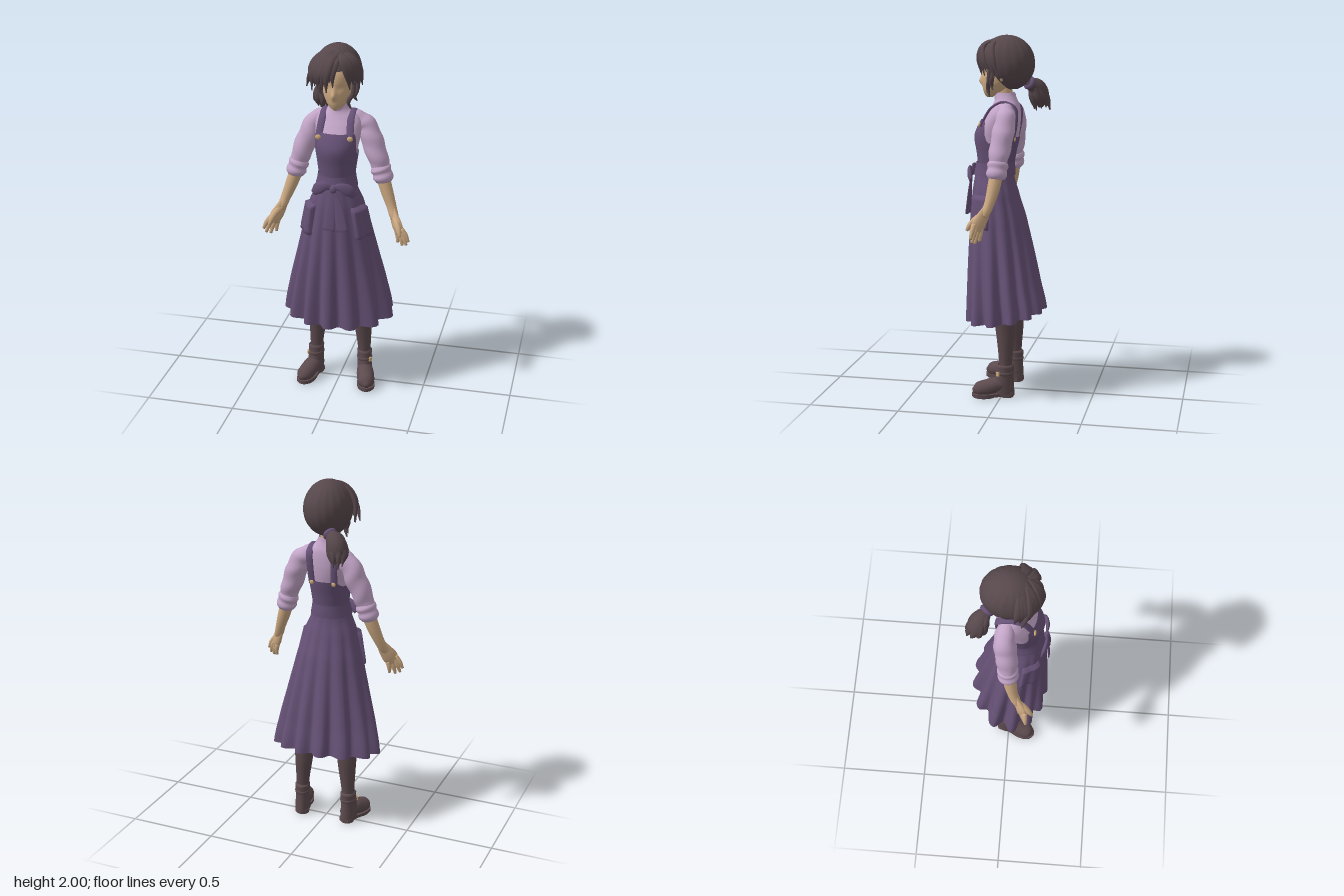
import * as THREE from 'three';

const V = (x, y, z) => new THREE.Vector3(x, y, z);
const { lerp, smoothstep, clamp } = THREE.MathUtils;
const mat = (name, color) =>
  Object.assign(new THREE.MeshStandardMaterial({ color, side: THREE.DoubleSide }), { name });

// Smooth interpolation of table rows keyed by their first column
function at(rows, y) {
  let i = 0;
  while (i < rows.length - 2 && y > rows[i + 1][0]) i++;
  const t = clamp((y - rows[i][0]) / (rows[i + 1][0] - rows[i][0]), 0, 1);
  const r = k => rows[clamp(k, 0, rows.length - 1)];
  return rows[0].map((_, c) => {
    const [a, b, d, e] = [r(i - 1)[c], r(i)[c], r(i + 1)[c], r(i + 2)[c]];
    return b + 0.5 * t * (d - a + t * (2 * a - 5 * b + 4 * d - e + t * (3 * (b - d) + e - a)));
  });
}

// Grid surface from f(u, v); closed joins the last column to the first
function surface(nu, nv, f, closed = true) {
  const pos = [], idx = [], cols = closed ? nv : nv + 1;
  for (let i = 0; i <= nu; i++)
    for (let j = 0; j < cols; j++) pos.push(...f(i / nu, j / nv).toArray());
  for (let i = 0; i < nu; i++)
    for (let j = 0; j < nv; j++) {
      const a = i * cols + j, b = i * cols + (j + 1) % cols;
      idx.push(a, b, b + cols, a, b + cols, a + cols);
    }
  const g = new THREE.BufferGeometry();
  g.setAttribute('position', new THREE.Float32BufferAttribute(pos, 3));
  g.setIndex(idx);
  g.computeVertexNormals();
  return g;
}

// Point on a stacked ellipse body; rows are [y, halfWidth, zFront, zBack]
function ring(rows, y, a, off = 0, scale = 1) {
  const [, rx, zf, zb] = at(rows, y);
  return V(Math.sin(a) * (rx * scale + off), y,
    (zf + zb) / 2 + Math.cos(a) * ((zf - zb) / 2 * scale + off));
}
const loft = (rows, nu = 24, nv = 32) => surface(nu, nv, (u, v) =>
  ring(rows, lerp(rows[0][0], rows.at(-1)[0], u), v * Math.PI * 2));

// Swept limb or ribbon with changing radius; ref is the wide direction
function limb(pts, radii, { flat = 1, ref = [0, 0, 1], n = 16, sides = 12, wrinkle = 0 } = {}) {
  const curve = new THREE.CatmullRomCurve3(pts.map(p => V(...p)));
  const rows = radii.map((r, i) => [i / (radii.length - 1), r]);
  return surface(n + 2, sides, (u, v) => {
    const k = Math.round(u * (n + 2)), t = clamp((k - 1) / n, 0, 1);
    const T = curve.getTangent(t), e1 = V(...ref);
    e1.addScaledVector(T, -e1.dot(T)).normalize();
    const e2 = T.clone().cross(e1), a = v * Math.PI * 2;
    const r = k === 0 || k === n + 2 ? 0
      : Math.max(0.001, at(rows, t)[1] + wrinkle * Math.sin(t * 26 + Math.sin(a) * 2));
    return curve.getPoint(t).addScaledVector(e1, r * Math.cos(a)).addScaledVector(e2, r * flat * Math.sin(a));
  });
}

const TORSO = [[1.26, .088, .15, -.03], [1.36, .1, .16, -.045], [1.45, .113, .172, -.065],
  [1.52, .124, .145, -.075], [1.58, .126, .105, -.075], [1.62, .106, .078, -.07],
  [1.645, .068, .066, -.06], [1.69, .045, .064, -.044]];
const SKIRT = [[.44, .318, .225, -.225], [.6, .288, .22, -.192], [.8, .239, .213, -.152],
  [1, .19, .203, -.107], [1.15, .147, .19, -.062], [1.24, .108, .176, -.038], [1.3, .096, .16, -.034]];
const HEAD = [[1.662, .008, .11, .08], [1.675, .03, .122, .045], [1.7, .054, .131, 0], [1.74, .074, .135, -.04],
  [1.79, .085, .136, -.08], [1.86, .092, .132, -.1], [1.92, .075, .1, -.08], [1.96, .02, .03, -.03]];

export function createModel() {
  const root = new THREE.Group();
  root.name = 'womanInPinafore';
  const hair = mat('hair brown', 0x56474b), skin = mat('skin', 0xcca982), blouse = mat('blouse lilac', 0xc3a5c8),
    dress = mat('dress purple', 0x665176), tights = mat('tights brown', 0x5a484c),
    boots = mat('boot brown', 0x5c4a4e), brass = mat('brass', 0xcba878);
  const add = (name, geo, m, parent = root) => {
    const o = new THREE.Mesh(geo, m);
    o.name = name;
    parent.add(o);
    return o;
  };
  const ball = (name, m, p, s) => {
    const o = add(name, new THREE.SphereGeometry(1, 16, 12), m);
    o.position.set(...p);
    o.scale.set(...s);
  };

  // Head with a small nose ridge and shallow eye hollows, then the neck
  add('head', surface(60, 80, (u, v) => {
    const p = ring(HEAD, lerp(1.662, 1.96, u), v * Math.PI * 2);
    const bump = (x, y, w, h) => Math.exp(-(((p.x - x) / w) ** 2) - ((p.y - y) / h) ** 2);
    if (p.z > .05) p.z += .017 * bump(0, 1.748, .013, .02) + .006 * bump(0, 1.775, .011, .025)
      - .005 * (bump(.036, 1.79, .024, .018) + bump(-.036, 1.79, .024, .018));
    return p;
  }), skin);
  add('neck', loft([[1.63, .04, .055, -.03], [1.76, .036, .055, -.03]], 4), skin);

  // Hair cap: low at the nape, open over the face
  add('hairCap', surface(24, 96, (u, v) => {
    const a = (v - .5) * Math.PI * 2;
    const low = lerp(.25, -1.15, smoothstep(Math.abs(a), .5, 2));
    const p = lerp(low, Math.PI / 2, u), c = Math.cos(p) * (1 + .008 * Math.cos(a * 18 + Math.sin(p * 3)));
    return V(-.01 + Math.sin(a) * c * .13, 1.848 + .152 * Math.sin(p), Math.cos(a) * c * .153);
  }), hair);

  // Fringe locks sweeping away from the parting, each a fan of three strands
  const locks = [
    [.024, [.02, 1.965, .085], [-.02, 1.94, .132], [-.05, 1.87, .156], [-.062, 1.785, .138]],
    [.026, [.02, 1.975, .06], [-.06, 1.945, .105], [-.105, 1.87, .12], [-.112, 1.775, .1]],
    [.026, [.01, 1.98, .04], [-.09, 1.94, .06], [-.137, 1.87, .065], [-.137, 1.785, .055]],
    [.018, [.02, 1.96, .09], [.005, 1.93, .138], [-.015, 1.875, .153], [-.022, 1.815, .145]],
    [.022, [.02, 1.965, .085], [.055, 1.935, .122], [.085, 1.87, .118], [.098, 1.8, .092]],
    [.024, [.02, 1.975, .05], [.082, 1.935, .075], [.113, 1.87, .07], [.117, 1.79, .045]]];
  locks.forEach(([r, ...pts], i) => {
    for (let k = -1; k <= 1; k++) {
      // Strands spread sideways along the brow towards their tips
      const d = V(pts[2][2], 0, -pts[2][0]).normalize().multiplyScalar(k * r * .7);
      const fan = pts.map(([x, y, z], j) =>
        [x + d.x * j / 2, y - (j === 3 ? .018 * Math.sin(i * 4 + k * 2) : 0), z + d.z * j / 2]);
      add('hairLock', limb(fan, [r * .3, r * .55, r * .55, r * .08],
        { flat: 1.8, ref: [pts[2][0], 0, pts[2][2]], sides: 10 }), hair);
    }
  });
  // Flyaway lock at the right, and curls beside the cheeks
  const curls = [
    [[-.09, 1.9, .1], [-.135, 1.86, .09], [-.15, 1.82, .08], [-.165, 1.775, .065]],
    [[-.08, 1.82, .09], [-.09, 1.755, .088], [-.07, 1.71, .095], [-.082, 1.67, .085]],
    [[-.09, 1.81, .06], [-.1, 1.76, .06], [-.085, 1.72, .07], [-.1, 1.7, .06]],
    [[.095, 1.82, .075], [.09, 1.755, .082], [.068, 1.71, .09], [.08, 1.67, .08]],
    [[.105, 1.82, .05], [.108, 1.77, .06], [.096, 1.735, .065], [.108, 1.71, .055]]];
  for (const pts of curls) add('hairCurl', limb(pts, [.012, .012, .011, .003], { sides: 8 }), hair);

  // Ponytail with its tie and loose tips
  add('ponytail', limb([[-.055, 1.745, -.1], [-.11, 1.71, -.145], [-.132, 1.65, -.16], [-.14, 1.6, -.165]],
    [.022, .05, .052, .015], { sides: 20 }), hair);
  for (let i = 0; i < 9; i++) {
    const a = i / 9 * Math.PI * 2, c = Math.cos(a), s = Math.sin(a);
    add('ponytailStrand', limb([[-.06, 1.745, -.1], [-.112 + c * .032, 1.71 + s * .02, -.145 + s * .03],
      [-.13 + c * .042, 1.65, -.16 + s * .042], [-.137 + c * .032, 1.595 + .015 * Math.sin(i * 5), -.175 + s * .045]],
      [.012, .02, .018, .003], { sides: 8 }), hair);
  }
  const tie = add('hairTie', new THREE.TorusGeometry(.024, .015, 10, 20), dress);
  tie.position.set(-.068, 1.737, -.113);
  tie.lookAt(-.12, 1.7, -.155);

  // Blouse body and rolled collar
  add('blouseBody', loft(TORSO, 40, 40), blouse);
  add('collar', loft([[1.645, .052, .066, -.054], [1.665, .05, .069, -.052], [1.685, .046, .067, -.048]], 6), blouse);

  // Pinafore bodice: high bib in front, lower at the sides and back
  add('bodice', surface(20, 64, (u, v) => {
    const a = (v - .5) * Math.PI * 2, b = Math.abs(a);
    const top = 1.54 - .12 * smoothstep(b, .85, 1.4) + .03 * smoothstep(b, 2.1, 2.6);
    return ring(TORSO, lerp(1.27, top, u), a, .008);
  }), dress);
  add('waistband', loft([[1.235, .116, .183, -.046], [1.27, .108, .176, -.046], [1.305, .103, .17, -.044]], 6, 40), dress);

  // Pleated skirt, longer at the front
  const skirt = (y, a, off = 0) => {
    const t = clamp((1.27 - y) / .83, 0, 1);
    const fold = (.5 - .5 * Math.cos(a * 13 + 1.1 * Math.sin(a * 2 + .6) + .5)) ** 1.4;
    const p = ring(SKIRT, y, a, off, 1 - .18 * t * fold);
    p.y += t * t * (.005 - .03 * Math.cos(a));
    return p;
  };
  add('skirt', surface(30, 200, (u, v) => skirt(lerp(.44, 1.29, u), v * Math.PI * 2)), dress);

  // Bow: drooping flat loops, knot and hanging tails
  for (const s of [-1, 1]) {
    add('bowLoop', limb([[.01, 1.258, .193], [.01 + s * .045, 1.265, .197], [.01 + s * .085, 1.245, .188],
      [.01 + s * .114, 1.215, .176]], [.012, .025, .032, .018], { flat: .4, ref: [0, 1, 0] }), dress);
    add('bowTail', limb([[.01, 1.25, .195], [.022 + s * .02, 1.14, .205], [.027 + s * .037, 1.015, .214]],
      [.012, .024, .031], { flat: .18, ref: [1, 0, 0] }), dress);
  }
  ball('bowKnot', dress, [.01, 1.25, .195], [.02, .024, .015]);

  for (const s of [-1, 1]) {
    const mir = pts => pts.map(([x, y, z]) => [x * s, y, z]);
    const X = [1, 0, 0];
    ball('ear', skin, [s * .092, 1.785, .01], [.012, .03, .018]);

    // Patch pocket
    add('pocket', surface(12, 14, (u, v) => {
      const edge = Math.min(u, 1 - u, v, 1 - v) < .01;
      const a = s > 0 ? lerp(.68, 1.5, v) : -lerp(1.5, .68, v);
      return skirt(lerp(.945, 1.14, u), a, edge ? -.01 : .01 + .014 * u);
    }, false), dress);

    // Shoulder strap lying on the blouse, with buttons
    const z = (x, y, f) => {
      const [, rx, zf, zb] = at(TORSO, y);
      return (zf + zb) / 2 + f * ((zf - zb) / 2 * Math.sqrt(Math.max(0, 1 - (x / rx) ** 2)) + .009);
    };
    const lay = (x, y, f) => [x, y, z(x, y, f)];
    add('strap', limb(mir([lay(.084, 1.51, 1), lay(.082, 1.56, 1), lay(.078, 1.61, 1), [.076, 1.643, .005],
      lay(.074, 1.61, -1), lay(.07, 1.54, -1), lay(.064, 1.43, -1)]),
      [.02, .02], { flat: .35, ref: X, n: 32 }), dress);
    ball('frontButton', brass, [s * .087, 1.517, z(.087, 1.517, 1) + .009], [.016, .015, .008]);
    ball('backButton', brass, [s * .064, 1.44, z(.064, 1.44, -1) - .006], [.013, .013, .007]);

    // Sleeve from the collar over the shoulder, with a rolled cuff
    add('sleeve', limb(mir([[.045, 1.608, -.005], [.1, 1.588, -.016], [.143, 1.553, -.022], [.176, 1.475, -.014],
      [.213, 1.38, -.002], [.238, 1.3, .003]]), [.038, .046, .054, .06, .056, .046],
      { n: 40, sides: 20, wrinkle: .0025 }), blouse);
    add('cuff', limb(mir([[.222, 1.34, .001], [.235, 1.305, .003], [.245, 1.27, .006], [.249, 1.247, .008]]),
      [.047, .058, .052, .057, .053, .043], { n: 18, sides: 20 }), blouse);

    // Forearm, palm turned inward, fingers and raised thumb
    add('forearm', limb(mir([[.235, 1.3, .004], [.268, 1.2, .018], [.298, 1.12, .035], [.315, 1.075, .052],
      [.325, 1.055, .062]]), [.038, .035, .028, .026, .022], { n: 20 }), skin);
    add('palm', limb(mir([[.304, 1.1, .044], [.322, 1.06, .062], [.343, 1.02, .081], [.36, .985, .094]]),
      [.026, .036, .042, .034], { flat: .5, ref: [.7 * s, 0, .7] }), skin);
    const tips = [[.41, .948, .112], [.397, .925, .108], [.373, .917, .097], [.345, .925, .078]];
    tips.forEach((tip, i) => {
      const k = (1.5 - i) * .018, base = [.352 + k * .6, 1.005 + k * .5, .087 + k * .6];
      const mid = base.map((b, c) => (b + tip[c]) / 2 + (c === 0 ? .004 : 0));
      add('finger', limb(mir([base, mid, tip]), [.014, .0135, .008], { n: 8, sides: 8 }), skin);
    });
    add('thumb', limb(mir([[.322, 1.065, .062], [.343, 1.043, .1], [.36, 1.01, .13], [.367, .985, .143]]),
      [.018, .018, .014, .008], { n: 8, sides: 8 }), skin);

    // Leg
    add('leg', limb(mir([[.115, .8, 0], [.13, .5, -.01], [.134, .36, -.02], [.142, .2, -.022], [.143, .1, -.02]]),
      [.07, .062, .052, .037, .036], { sides: 20 }), tights);

    // Ankle boot, toe turned outward
    const boot = new THREE.Group();
    boot.name = 'boot';
    boot.position.set(s * .145, 0, -.018);
    boot.rotation.y = s * .28;
    root.add(boot);
    add('bootShaft', loft([[.02, .043, .06, -.054], [.07, .043, .068, -.052], [.12, .041, .053, -.05],
      [.17, .042, .046, -.051], [.185, .043, .047, -.052], [.188, .034, .038, -.04]], 20), boots, boot);
    add('bootFoot', limb([[0, .056, -.035], [0, .07, .04], [0, .054, .1], [0, .045, .15], [0, .038, .18]],
      [.034, .047, .05, .043, .014], { flat: .9, ref: X, sides: 18 }), boots, boot);
    const outline = new THREE.Shape(new THREE.SplineCurve([[0, -.055], [.038, -.035], [.036, .03], [.051, .1],
      [.04, .16], [0, .185], [-.04, .16], [-.05, .1], [-.036, .03], [-.038, -.035], [0, -.055]]
      .map(p => new THREE.Vector2(...p))).getPoints(40));
    const sole = new THREE.ExtrudeGeometry(outline, { depth: .018, bevelEnabled: false }).rotateX(Math.PI / 2);
    add('sole', sole, boots, boot).position.y = .025;
    const heel = new THREE.CylinderGeometry(.04, .038, .03, 20);
    add('heel', heel, boots, boot).position.set(0, .015, -.012);
    const frontSole = new THREE.CylinderGeometry(.048, .046, .02, 24).scale(1, 1, 1.35);
    add('frontSole', frontSole, boots, boot).position.set(0, .01, .115);
    const band = add('ankleStrap', new THREE.TorusGeometry(.04, .005, 8, 28).rotateX(Math.PI / 2), boots, boot);
    band.position.set(0, .138, 0);
    band.scale.set(1, 2, 1.2);
    const buckle = add('buckle', new THREE.BoxGeometry(.02, .022, .008), brass, boot);
    buckle.position.set(s * .031, .138, .041);
    buckle.rotation.y = s * .75;
  }
  return root;
}
